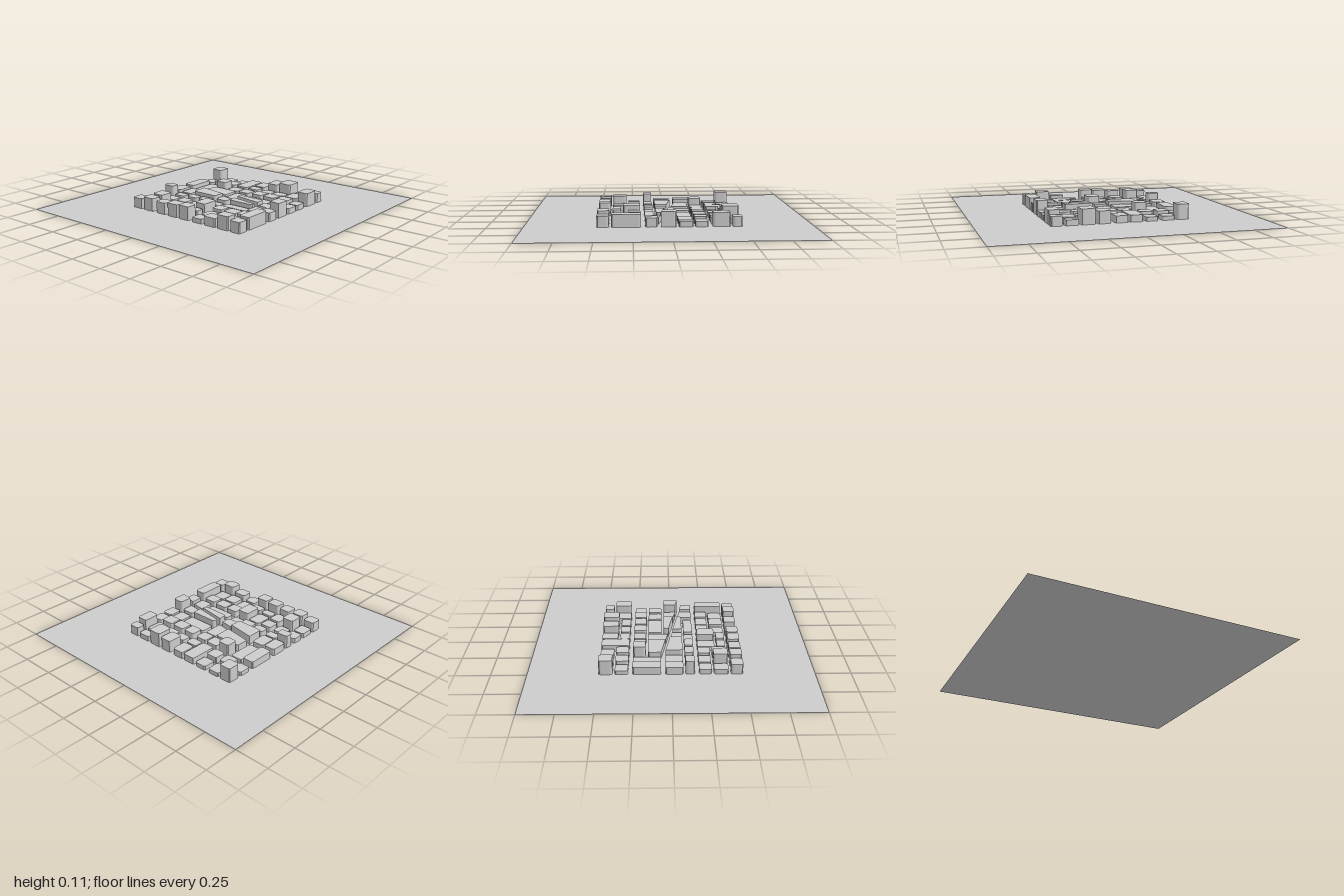
import * as THREE from 'three';

// Column extents along x
const starts = [-0.5, -0.395, -0.27, -0.16, -0.05, 0.075, 0.183, 0.3, 0.415];
const ends = [-0.41, -0.3, -0.178, -0.06, 0.045, 0.168, 0.287, 0.4, 0.5];

// Heights along the two outer rows
const backHeights = [0.11, 0.03, 0.03, 0.05, 0.05, 0.09, 0.11, 0.04, 0.07];
const frontHeights = [0.075, 0.095, 0.085, 0.095, 0.1, 0.035, 0.065, 0.1, 0.08];

// The two kerbs of the diagonal street
const northKerb = x => -0.025 + x * 0.165;
const southKerb = x => 0.007 + x * 0.162;

// Outline with softened corners; corners on the diagonal street stay sharp
function blockShape(x0, x1, back, front) {
  const corner = (edge, x) => {
    const slanted = typeof edge === 'function';
    return { p: new THREE.Vector2(x, -(slanted ? edge(x) : edge)), radius: slanted ? 0 : 0.018 };
  };
  const corners = [corner(front, x0), corner(front, x1), corner(back, x1), corner(back, x0)];
  const shape = new THREE.Shape();
  corners.forEach(({ p, radius }, i) => {
    const towards = q => p.clone().add(q.clone().sub(p).setLength(radius));
    const a = towards(corners[(i + 3) % 4].p), b = towards(corners[(i + 1) % 4].p);
    if (i === 0) shape.moveTo(a.x, a.y); else shape.lineTo(a.x, a.y);
    if (radius > 0) shape.quadraticCurveTo(p.x, p.y, b.x, b.y);
  });
  shape.closePath();
  return shape;
}

export function createModel() {
  const model = new THREE.Group();
  model.name = 'cityDistrict';

  // Ground sheet
  const ground = new THREE.Mesh(new THREE.PlaneGeometry(2, 2).rotateX(-Math.PI / 2),
    new THREE.MeshStandardMaterial({ color: 0xcccccc, side: THREE.DoubleSide }));
  ground.name = 'groundSheet';
  model.add(ground);

  const blocks = new THREE.Group();
  blocks.name = 'cityBlocks';
  model.add(blocks);
  const material = new THREE.MeshStandardMaterial({ color: 0xcccccc, flatShading: true });

  // Ordinary blocks get a low height from a seeded sequence
  let seed = 7;
  const lowHeight = () => {
    seed = (seed * 16807) % 2147483647;
    return 0.03 + 0.025 * seed / 2147483647;
  };

  // A strip of blocks spanning some columns, parted by lanes at the given z cuts
  function strip(first, last, back, front, cuts = [], heights = []) {
    const lane = 0.008;
    for (let i = 0; i <= cuts.length; i++) {
      const near = i === 0 ? back : cuts[i - 1] + lane;
      const far = i === cuts.length ? front : cuts[i] - lane;
      const geometry = new THREE.ExtrudeGeometry(blockShape(starts[first], ends[last], near, far),
        { depth: heights[i] ?? lowHeight(), bevelEnabled: false, curveSegments: 3 });
      const block = new THREE.Mesh(geometry.rotateX(-Math.PI / 2), material);
      block.name = 'cityBlock';
      blocks.add(block);
    }
  }

  for (let c = 0; c < starts.length; c++) {
    // Back quarter
    const backCuts = c < 3 ? [-0.4] : c === 3 ? [] : c < 7 ? [-0.38] : [-0.43];
    strip(c, c, -0.505, -0.3, backCuts, [backHeights[c], c === 8 ? 0.1 : undefined]);

    // Blocks behind the diagonal street, and the long ones on the left edge
    if (c < 2) {
      strip(c, c, -0.27, -0.07, [], [c === 0 ? 0.055 : 0.03]);
      strip(c, c, -0.04, 0.165, [0.0925], [undefined, c === 0 ? 0.1 : 0.04]);
    } else {
      strip(c, c, -0.27, -0.18, [], [c === 2 ? 0.095 : undefined]);
    }
    if (c >= 2 && c < 5) strip(c, c, 0.1, 0.165);

    // Front quarter
    const frontCuts = c === 8 ? [0.4075] : [c === 3 || c === 4 ? 0.33 : 0.29, 0.4075];
    const tall = { 1: [undefined, 0.1], 4: [0.08, undefined], 8: [0.09] };
    strip(c, c, 0.195, 0.5, frontCuts, [...(tall[c] ?? [undefined, undefined]), frontHeights[c]]);
  }

  // Blocks cut by the diagonal street, left part
  for (const [first, last] of [[2, 3], [4, 4]]) {
    strip(first, last, -0.165, northKerb);
    strip(first, last, southKerb, 0.085, [], [first === 2 ? 0.07 : 0.05]);
  }

  // Blocks cut by the diagonal street, right part
  for (const [first, last, height] of [[5, 6, 0.07], [7, 7, 0.05], [8, 8, 0.108]]) {
    strip(first, last, -0.165, northKerb, [-0.0575], [undefined, height]);
    strip(first, last, southKerb, first === 5 ? 0.085 : 0.165, [], [first === 7 ? 0.05 : 0.065]);
  }
  strip(5, 6, 0.1, 0.165);

  return model;
}
